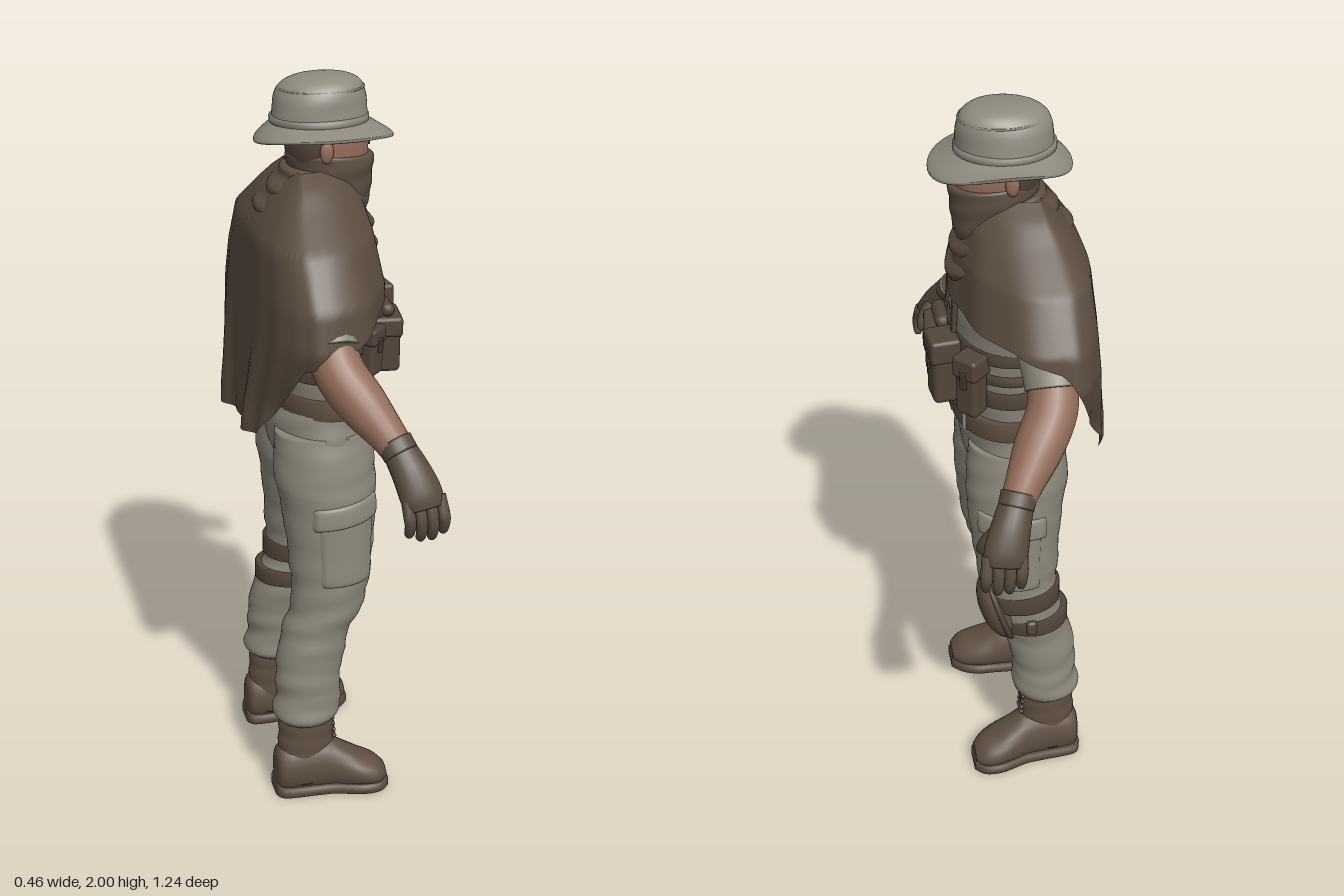
import * as THREE from 'three';
import { RoundedBoxGeometry } from 'three/addons/geometries/RoundedBoxGeometry.js';

const mat = (name, color, side = THREE.FrontSide) =>
  Object.assign(new THREE.MeshStandardMaterial({ color, side }), { name });
const V = (x, y, z) => new THREE.Vector3(x, y, z);

// Catmull-Rom resampling of rows of numbers
function smooth(rows, steps = 5) {
  const out = [], at = i => rows[Math.min(rows.length - 1, Math.max(0, i))];
  for (let i = 0; i < rows.length - 1; i++)
    for (let s = 0; s < steps; s++) {
      const t = s / steps;
      out.push(at(i).map((b, k) => {
        const a = at(i - 1)[k], c = at(i + 1)[k], d = at(i + 2)[k];
        return b + 0.5 * t * (c - a + t * (2 * a - 5 * b + 4 * c - d + t * (3 * (b - c) + d - a)));
      }));
    }
  out.push(rows[rows.length - 1]);
  return out;
}

// Linear lookup in a table of [key, value] with rising keys
function lookup(table, k) {
  let i = 1;
  while (i < table.length - 1 && table[i][0] < k) i++;
  const [a, b] = [table[i - 1], table[i]];
  return THREE.MathUtils.lerp(a[1], b[1], THREE.MathUtils.clamp((k - a[0]) / (b[0] - a[0]), 0, 1));
}

// Closed rings point(j, angle) joined into a skin, with optional end caps
function skin(count, n, point, caps = true) {
  const pos = [], idx = [];
  for (let j = 0; j < count; j++)
    for (let i = 0; i < n; i++) pos.push(...point(j, i / n * Math.PI * 2).toArray());
  for (let j = 0; j < count - 1; j++)
    for (let i = 0; i < n; i++) {
      const a = j * n + i, c = j * n + (i + 1) % n;
      idx.push(a, a + n, c, a + n, c + n, c);
    }
  if (caps) [0, count - 1].forEach((j, end) => {
    const m = pos.length / 3, mid = V(0, 0, 0);
    for (let i = 0; i < n; i++) mid.add(V(...pos.slice((j * n + i) * 3, (j * n + i) * 3 + 3)));
    pos.push(...mid.divideScalar(n).toArray());
    for (let i = 0; i < n; i++) {
      const a = j * n + i, b = j * n + (i + 1) % n;
      idx.push(m, end ? b : a, end ? a : b);
    }
  });
  const g = new THREE.BufferGeometry();
  g.setAttribute('position', new THREE.Float32BufferAttribute(pos, 3));
  g.setIndex(idx);
  g.computeVertexNormals();
  return g;
}

// Upright form from rows [x, y, z, radiusX, radiusZ], listed bottom to top
function upright(rows, { steps = 5, n = 40, fold = () => 0, caps = true, lift = () => 0 } = {}) {
  const r = smooth(rows, steps);
  return skin(r.length, n, (j, a) => {
    const [x, y, z, rx, rz] = r[j], k = 1 + fold(a, y);
    return V(x + Math.cos(a) * rx * k, y + lift(a, j / (r.length - 1)), z + Math.sin(a) * rz * k);
  }, caps);
}

// Limb from rows [x, y, z, radiusX, radiusAcross] along any path
function limb(rows, n = 20, steps = 5) {
  const r = smooth(rows, steps), c = r.map(q => V(q[0], q[1], q[2]));
  return skin(r.length, n, (j, a) => {
    const d = c[Math.min(j + 1, c.length - 1)].clone().sub(c[Math.max(j - 1, 0)]).normalize();
    const u = V(1, 0, 0).addScaledVector(d, -d.x).normalize(), v = u.clone().cross(d);
    return c[j].clone().addScaledVector(u, Math.cos(a) * r[j][3]).addScaledVector(v, Math.sin(a) * r[j][4]);
  });
}

// Shoe form from rows [x, y, z, halfHeight, halfWidth], heel to toe, cut flat above and below
function shoe(rows, floor, top) {
  const r = smooth(rows, 4);
  return skin(r.length, 24, (j, a) => {
    const [x, y, z, h, w] = r[j];
    return V(x, THREE.MathUtils.clamp(y + Math.sin(a) * h, floor, top), z + Math.cos(a) * w);
  });
}

export function createModel() {
  const root = new THREE.Group();
  const cloth = mat('greyCloth', 0x8a8578), hatCloth = mat('hatCloth', 0x8d897d);
  const brown = mat('brownWrap', 0x5c4d40, THREE.DoubleSide), skinTone = mat('skin', 0x926c5a);
  const glove = mat('gloveLeather', 0x574a3d), boot = mat('bootLeather', 0x5f4f41);
  const gear = mat('gearFabric', 0x53453a), dark = mat('darkTrim', 0x41362d);
  const add = (name, geo, m, parent = root) => {
    const o = new THREE.Mesh(geo, m);
    o.name = name;
    parent.add(o);
    return o;
  };
  const box = (name, size, at, m, turn = 0, r = 0.012) => {
    const o = add(name, new RoundedBoxGeometry(...size, 2, Math.min(r, ...size.map(s => s * 0.45))), m);
    o.position.set(...at);
    o.rotation.y = turn;
    return o;
  };
  const band = (name, x, y, z, rx, rz, h, m) => add(name, upright([
    [x, y - h / 2, z, rx - 0.008, rz - 0.008], [x, y - h / 2 + 0.004, z, rx, rz],
    [x, y + h / 2 - 0.004, z, rx, rz], [x, y + h / 2, z, rx - 0.008, rz - 0.008]], { steps: 1 }), m);

  // Shirt and hips
  add('shirt', upright([[.02, 1.1, 0, .125, .175], [.02, 1.2, 0, .13, .18], [.02, 1.35, 0, .14, .198],
    [.005, 1.5, 0, .15, .22], [-.02, 1.58, 0, .13, .2], [-.01, 1.68, 0, .09, .12], [.01, 1.74, 0, .06, .065]],
  { fold: (a, y) => .012 * Math.sin(y * 75 + 2 * Math.sin(a * 2)) }), cloth);
  add('trouserHips', upright([[.01, .89, 0, .05, .03], [.01, .93, 0, .092, .1], [.008, 1.02, 0, .13, .195],
    [.01, 1.1, 0, .136, .194], [.02, 1.15, 0, .13, .184]],
  { fold: (a, y) => .01 * Math.sin(y * 80 + 3 * Math.cos(a * 2)) }), cloth);
  band('belt', .025, 1.155, 0, .14, .194, .058, boot);
  box('beltBuckle', [.016, .045, .055], [.161, 1.155, 0], gear);
  for (const z of [-.1, .1]) box('beltLoop', [.016, .066, .012], [.025 + .138 * Math.sqrt(1 - z * z / .0376), 1.155, z], cloth);

  // Legs, pockets and boots; s = 1 is the right side of the body
  const crease = (a, y) => (y < .72 ? 1 : .4) *
    (.024 * Math.sin(y * 62 + 2.2 * Math.sin(a + y * 7)) + .012 * Math.sin(y * 115 - 3 * Math.cos(a - y * 5)));
  for (const s of [1, -1]) {
    const side = s > 0 ? 'right' : 'left';
    const m = rows => rows.map(([x, y, z, a, b]) => [x, y, z * s, a, b]);
    add(side + 'TrouserLeg', upright(m([[-.065, .235, .185, .078, .068], [-.065, .26, .182, .095, .083],
      [-.06, .32, .178, .09, .078], [-.055, .4, .172, .093, .08], [-.033, .5, .162, .094, .085],
      [.005, .6, .158, .103, .089], [.014, .75, .138, .118, .103], [.013, .87, .118, .13, .117],
      [.006, .97, .104, .138, .12], [.005, 1.08, .09, .128, .108]]), { steps: 7, fold: crease }), cloth);
    // Pocket rings rise out of the leg only on its outer side
    const patch = (mid, half, out) => a => {
      const off = Math.abs(THREE.MathUtils.euclideanModulo(a * s - mid + Math.PI, Math.PI * 2) - Math.PI);
      return THREE.MathUtils.lerp(out, -.05, THREE.MathUtils.smoothstep(off, half - .1, half));
    };
    add(side + 'CargoPocket', upright(m([[.014, .665, .15, .1, .086], [.014, .675, .149, .113, .098],
      [.014, .75, .138, .118, .103], [.013, .86, .12, .128, .114]]), { n: 64, fold: patch(1.3, .75, .045) }), cloth);
    add(side + 'PocketFlap', upright(m([[.013, .84, .124, .118, .105], [.013, .843, .124, .129, .115],
      [.013, .89, .116, .13, .117], [.013, .9, .115, .12, .108]]),
    { n: 64, fold: patch(1.3, .85, .065), lift: a => .012 * Math.cos(a) }), cloth);

    add(side + 'BootShaft', upright(m([[-.075, .04, .19, .077, .058], [-.07, .13, .187, .079, .056],
      [-.067, .22, .185, .078, .056], [-.067, .255, .185, .081, .06], [-.067, .27, .185, .07, .052]]),
    { steps: 8, fold: (a, y) => .018 * Math.sin(y * 130 + Math.cos(a)) }), boot);
    const foot = m([[-.158, .07, .19, .05, .03], [-.138, .075, .19, .075, .056], [-.05, .08, .193, .09, .061],
      [0, .075, .197, .082, .062], [.035, .065, .204, .07, .066], [.08, .055, .212, .052, .071],
      [.125, .045, .22, .04, .06], [.152, .04, .222, .02, .034]]);
    add(side + 'BootFoot', shoe(foot, .02, .2), boot);
    add(side + 'BootSole', shoe(foot.map(([x, , z, , w]) => [x * 1.03, .016, z, .05, w * 1.06]), 0, .03), boot);
    for (let i = 0; i < 4; i++)
      box(side + 'Lace', [.012, .008, .05], [.01 - i * .002, .165 + i * .02, .187 * s], gear, 0, .004);

    // Arms
    add(side + 'Sleeve', limb(m([[-.03, 1.58, .17, .09, .085], [-.035, 1.52, .25, .085, .078],
      [-.04, 1.43, .32, .076, .072], [-.04, 1.395, .347, .073, .071]])), cloth);
    add(side + 'Forearm', limb(m([[-.04, 1.42, .325, .062, .06], [-.03, 1.35, .375, .064, .064],
      [.015, 1.28, .43, .062, .062], [.06, 1.22, .485, .048, .046], [.085, 1.18, .515, .042, .038]])), skinTone);
    add(side + 'GloveCuff', limb(m([[.075, 1.205, .5, .046, .042], [.087, 1.178, .522, .045, .04]])), glove);
    add(side + 'Palm', limb(m([[.08, 1.195, .51, .042, .037], [.105, 1.14, .55, .05, .038],
      [.122, 1.09, .58, .055, .033], [.128, 1.06, .594, .048, .024]])), glove);
    for (let i = 0; i < 4; i++) {
      const x = .082 + i * .029, drop = [.012, 0, 0, .014][i];
      add(side + 'Finger', limb(m([[x, 1.09, .583, .014, .016], [x + .004, 1.05, .601, .016, .016],
        [x + .006, 1.015 + drop, .606, .015, .015], [x + .006, .985 + drop, .596, .012, .012],
        [x + .006, .977 + drop, .592, .005, .005]]), 10, 3), glove);
    }
    add(side + 'Thumb', limb(m([[.125, 1.14, .545, .022, .02], [.158, 1.1, .535, .019, .018],
      [.172, 1.065, .524, .015, .015], [.172, 1.05, .52, .006, .006]]), 10, 3), glove);
  }

  // Knee pad on the left leg
  const pad = add('kneePad', new THREE.SphereGeometry(1, 24, 18), boot);
  pad.scale.set(.052, .112, .08);
  pad.position.set(.07, .555, -.162);
  pad.rotation.z = -.3;
  const rim = add('kneePadRim', new THREE.TorusGeometry(1, .1, 8, 32), gear);
  rim.rotation.set(0, Math.PI / 2, -.3, 'ZYX');
  rim.scale.set(.08, .108, .08);
  rim.position.set(.068, .555, -.162);
  band('upperKneeStrap', .003, .605, -.158, .108, .095, .06, gear);
  band('lowerKneeStrap', -.026, .52, -.162, .102, .092, .05, gear);
  box('kneeStrapBuckle', [.03, .045, .02], [-.01, .53, -.25], gear);

  // Chest rig with straps and pouches
  band('upperRigBand', .02, 1.385, 0, .149, .207, .04, gear);
  band('middleRigBand', .02, 1.32, 0, .147, .204, .03, gear);
  band('lowerRigBand', .02, 1.255, 0, .143, .197, .05, gear);
  for (const z of [-.06, .12]) box('shoulderStrap', [.014, .13, .03], [z > 0 ? .146 : .161, 1.45, z], gear).rotation.z = .06;
  const pouch = (x, y, z, w, h, d, turn) => {
    const g = new THREE.Group();
    g.name = 'pouch';
    g.position.set(x, y, z);
    g.rotation.y = turn;
    root.add(g);
    add('pouchBody', new RoundedBoxGeometry(d, h, w, 2, .014), gear, g);
    add('pouchFlap', new RoundedBoxGeometry(d + .012, h * .36, w + .008, 2, .01), gear, g).position.y = h * .34;
    add('pouchTab', new RoundedBoxGeometry(.008, h * .3, .02, 1, .003), dark, g).position.set(d / 2 + .005, h * .16, 0);
  };
  pouch(.185, 1.295, .055, .115, .15, .068, -.13);
  pouch(.195, 1.315, -.076, .082, .185, .068, .1);
  pouch(.135, 1.31, -.165, .066, .17, .06, .75);
  pouch(.115, 1.31, .165, .06, .13, .045, -.8);
  const roll = add('rigRoll', new THREE.CapsuleGeometry(.02, .07, 4, 10), gear);
  roll.position.set(.18, 1.39, .055);
  roll.rotation.x = Math.PI / 2;

  // Draped cape: long behind, short in front
  const hem = [[0, 1.5], [45, 1.45], [80, 1.39], [108, 1.35], [128, 1.2], [145, 1.12], [180, 1.1],
    [212, 1.07], [232, 1.2], [250, 1.32], [270, 1.46], [300, 1.5], [360, 1.5]];
  const wide = [[1.07, .28], [1.2, .31], [1.3, .365], [1.4, .405], [1.5, .387], [1.62, .305], [1.7, .195], [1.74, .145], [1.77, .09]];
  const fore = [[1.4, .165], [1.5, .165], [1.62, .145], [1.7, .12], [1.77, .08]];
  const rear = [[1.07, .215], [1.15, .215], [1.4, .192], [1.62, .175], [1.7, .125], [1.77, .06]];
  add('cape', skin(34, 144, (j, a) => {
    const v = 1 - j / 33, y = THREE.MathUtils.lerp(1.77, lookup(hem, a * 180 / Math.PI), v);
    const c = Math.cos(a), si = Math.sin(a), back = Math.max(0, -c);
    const k = 1 + .02 * v * Math.sin(a * 11 + 1.2 + v) - v * v * back * (.1 * Math.cos(6 * a) + .05 * Math.cos(17 * a));
    const x = c > 0 ? c * (lookup(fore, y) + .05) : -Math.pow(-c, .65) * (lookup(rear, y) - .05);
    const across = c > 0 ? si : Math.sign(si) * Math.pow(Math.abs(si), .8);
    return V(-.05 + x * k, y, across * lookup(wide, y) * (1 + (k - 1) * .3));
  }, false), brown);

  // Scarf wound round the neck, its folds dipping in front
  add('scarf', upright([[0, 1.62, 0, .158, .14], [.004, 1.645, 0, .165, .152], [.012, 1.69, 0, .148, .146],
    [.02, 1.73, 0, .128, .122], [.025, 1.765, 0, .112, .102], [.027, 1.775, 0, .095, .088]],
  { steps: 8, n: 64, fold: (a, y) => .05 * Math.sin(y * 125 + 1.4 * Math.sin(a + .6)) + .015 * Math.sin(a * 5 + y * 40),
    lift: (a, t) => -(.115 - .035 * t) * Math.pow((1 + Math.cos(a)) / 2, 2) }), brown);

  // Head, face wrap and ears
  add('head', upright([[.03, 1.62, 0, .065, .06], [.035, 1.68, 0, .08, .068], [.04, 1.74, 0, .1, .08],
    [.04, 1.82, 0, .106, .086], [.035, 1.9, 0, .1, .083]]), skinTone);
  add('faceWrap', upright([[.04, 1.62, 0, .09, .08], [.045, 1.68, 0, .106, .085], [.047, 1.74, 0, .11, .089],
    [.046, 1.79, 0, .114, .092], [.045, 1.8, 0, .104, .084]],
  { fold: (a, y) => .015 * Math.sin(y * 110 + a * 2), lift: (a, t) => -.008 * t * Math.cos(a) + .004 * t }), brown);
  add('hair', upright([[.004, 1.77, 0, .066, .07], [0, 1.82, 0, .07, .084], [0, 1.88, 0, .07, .084]]), gear);
  for (const s of [1, -1]) {
    const ear = add('ear', new THREE.SphereGeometry(1, 12, 8), skinTone);
    ear.scale.set(.018, .03, .011);
    ear.position.set(.015, 1.82, .09 * s);
    box('eye', [.006, .008, .024], [.14, 1.826, .036 * s], dark, -.3 * s, .002);
  }

  // Bush hat: crown, band and drooping brim
  add('hatCrown', upright([[.018, 1.86, 0, .126, .11], [.018, 1.91, 0, .122, .103], [.02, 1.95, 0, .117, .096],
    [.024, 1.978, 0, .102, .08], [.028, 1.994, 0, .07, .055], [.028, 2, 0, .02, .016]],
  { fold: (a, y) => .012 * Math.sin(a * 3 + y * 40) }), hatCloth);
  band('hatBand', .018, 1.89, 0, .128, .111, .022, hatCloth);
  const seam = add('crownSeam', new THREE.TorusGeometry(1, .03, 6, 48), hatCloth);
  seam.rotation.x = Math.PI / 2;
  seam.scale.set(.109, .087, .1);
  seam.position.set(.023, 1.966, 0);
  add('hatBrim', upright([[.02, 1.868, 0, .11, .095], [.024, 1.862, 0, .145, .128], [.03, 1.85, 0, .175, .153],
    [.03, 1.855, 0, .179, .157], [.03, 1.86, 0, .175, .153], [.024, 1.874, 0, .145, .128], [.02, 1.888, 0, .116, .1]],
  { steps: 3, n: 48, caps: false, lift: (a, t) => {
    const out = Math.sin(t * Math.PI);
    return out * out * (.014 - .033 * Math.cos(a) ** 2 + .005 * Math.sin(a * 3));
  } }), hatCloth);
  return root;
}
